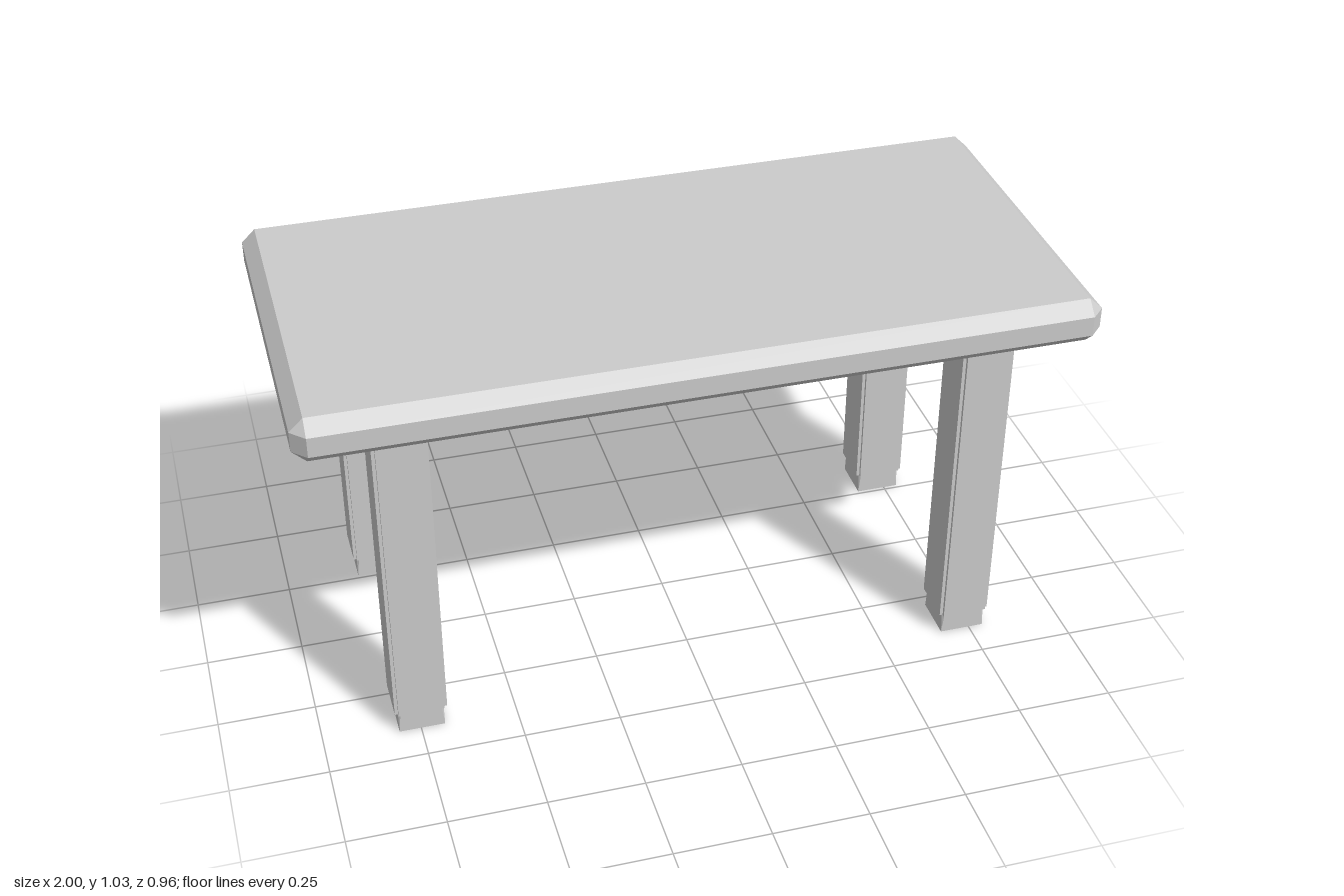
import * as THREE from 'three';

const material = new THREE.MeshStandardMaterial({ color: 0xcccccc, flatShading: true });

// Rectangle with cut corners, counter-clockwise seen from above
function section({ y, hx, hz, cut }) {
  return [
    [hx, hz - cut], [hx, -hz + cut], [hx - cut, -hz], [-hx + cut, -hz],
    [-hx, -hz + cut], [-hx, hz - cut], [-hx + cut, hz], [hx - cut, hz],
  ].map(([x, z]) => new THREE.Vector3(x, y, z));
}

// Solid through stacked sections, listed from bottom to top, closed by flat caps
function loft(sections) {
  const rings = sections.map(section);
  const positions = [];
  const face = (a, b, c) => {
    if (new THREE.Triangle(a, b, c).getArea() < 1e-9) return;
    for (const p of [a, b, c]) positions.push(p.x, p.y, p.z);
  };
  for (let r = 0; r < rings.length - 1; r++) {
    const low = rings[r], high = rings[r + 1];
    for (let i = 0; i < 8; i++) {
      const j = (i + 1) % 8;
      face(low[i], low[j], high[j]);
      face(low[i], high[j], high[i]);
    }
  }
  const bottom = rings[0], top = rings[rings.length - 1];
  for (let i = 1; i < 7; i++) {
    face(bottom[0], bottom[i + 1], bottom[i]);
    face(top[0], top[i], top[i + 1]);
  }
  const geometry = new THREE.BufferGeometry();
  geometry.setAttribute('position', new THREE.Float32BufferAttribute(positions, 3));
  geometry.computeVertexNormals();
  return geometry;
}

function addMesh(parent, name, geometry) {
  const mesh = new THREE.Mesh(geometry, material);
  mesh.name = name;
  parent.add(mesh);
  return mesh;
}

// Square post with recessed corner edges, clad with a raised panel on each side
function createLeg(name) {
  const leg = new THREE.Group();
  leg.name = name;
  const half = 0.059;
  addMesh(leg, 'post', loft([
    { y: 0, hx: half, hz: half, cut: 0 },
    { y: 0.1, hx: half, hz: half, cut: 0.01 },
    { y: 0.84, hx: half, hz: half, cut: 0.01 },
    { y: 0.912, hx: half, hz: half, cut: 0 },
  ]));
  const panel = new THREE.BoxGeometry(0.118, 0.828, 0.012).translate(0, 0.473, 0.0615);
  for (let i = 0; i < 4; i++) {
    addMesh(leg, 'sidePanel', panel).rotation.y = i * Math.PI / 2;
  }
  return leg;
}

export function createModel() {
  const table = new THREE.Group();
  table.name = 'table';

  // Slab with every edge and corner bevelled
  addMesh(table, 'tabletop', loft([
    { y: 0.91, hx: 0.965, hz: 0.445, cut: 0 },
    { y: 0.943, hx: 1, hz: 0.48, cut: 0.035 },
    { y: 0.996, hx: 1, hz: 0.48, cut: 0.035 },
    { y: 1.03, hx: 0.965, hz: 0.445, cut: 0 },
  ]));

  // Four legs, set slightly off centre under the top
  for (const [side, x] of [['Left', 0.73], ['Right', -0.747]]) {
    for (const [end, z] of [['front', 0.342], ['back', -0.319]]) {
      const leg = createLeg(`${end}${side}Leg`);
      leg.position.set(x, 0, z);
      table.add(leg);
    }
  }
  return table;
}
